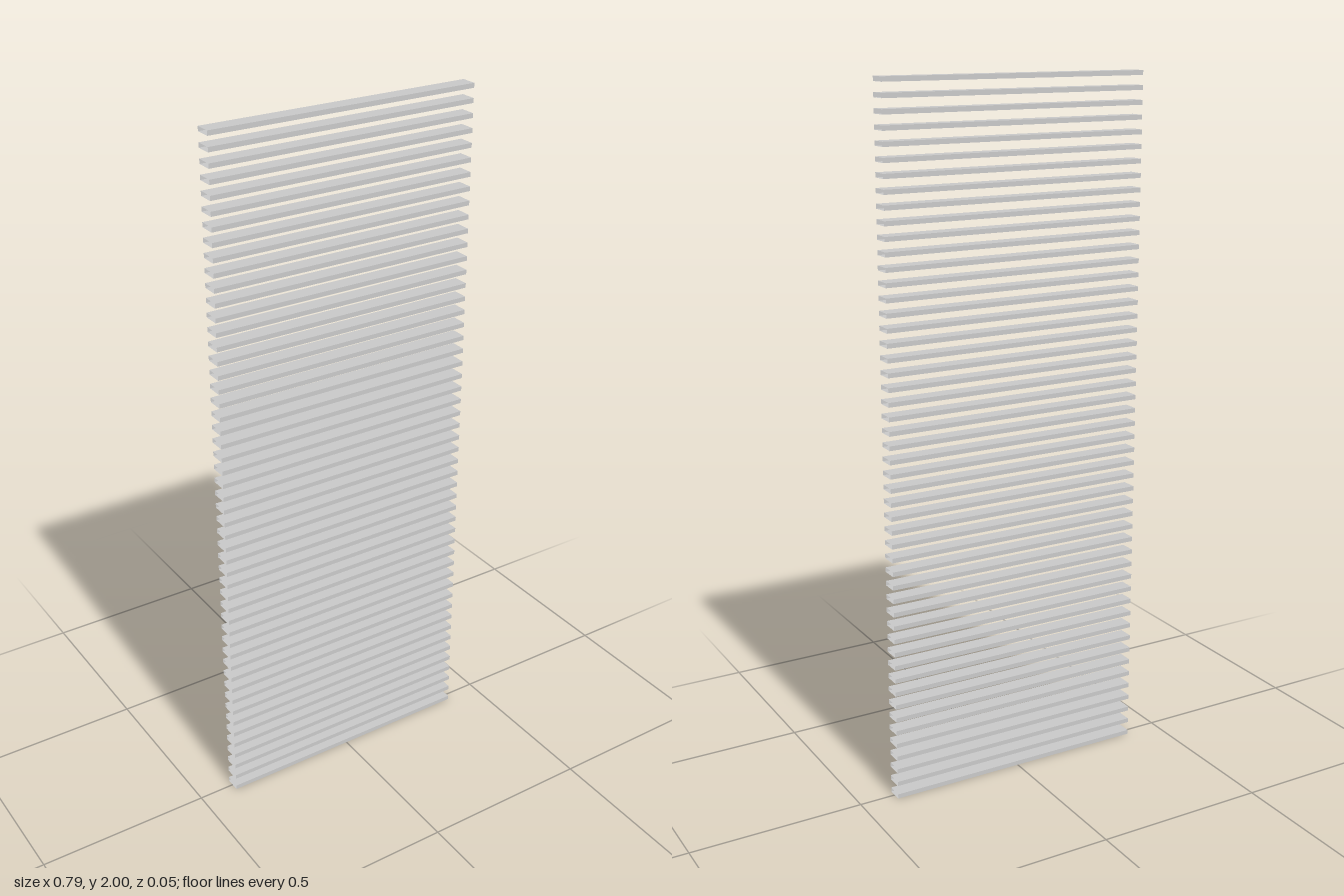
import * as THREE from 'three';

const COUNT = 51;
const WIDTH = 0.787, THICK = 0.013, DEPTH = 0.046;

// Hollow slat: a box profile running along x, open at both ends
function slatGeometry() {
  const geometry = new THREE.BoxGeometry(WIDTH, THICK, DEPTH);
  const index = Array.from(geometry.index.array).slice(12); // drop the +x and -x caps
  geometry.setIndex(index);
  geometry.clearGroups();
  return geometry;
}

export function createModel() {
  const model = new THREE.Group();
  model.name = 'slattedScreen';
  const material = new THREE.MeshStandardMaterial({ color: 0xcccccc, side: THREE.DoubleSide });
  const geometry = slatGeometry();

  // Evenly stacked horizontal slats
  const pitch = (2 - THICK) / (COUNT - 1);
  for (let i = 0; i < COUNT; i++) {
    const slat = new THREE.Mesh(geometry, material);
    slat.name = `slat${i + 1}`;
    slat.position.y = THICK / 2 + i * pitch;
    model.add(slat);
  }
  return model;
}
